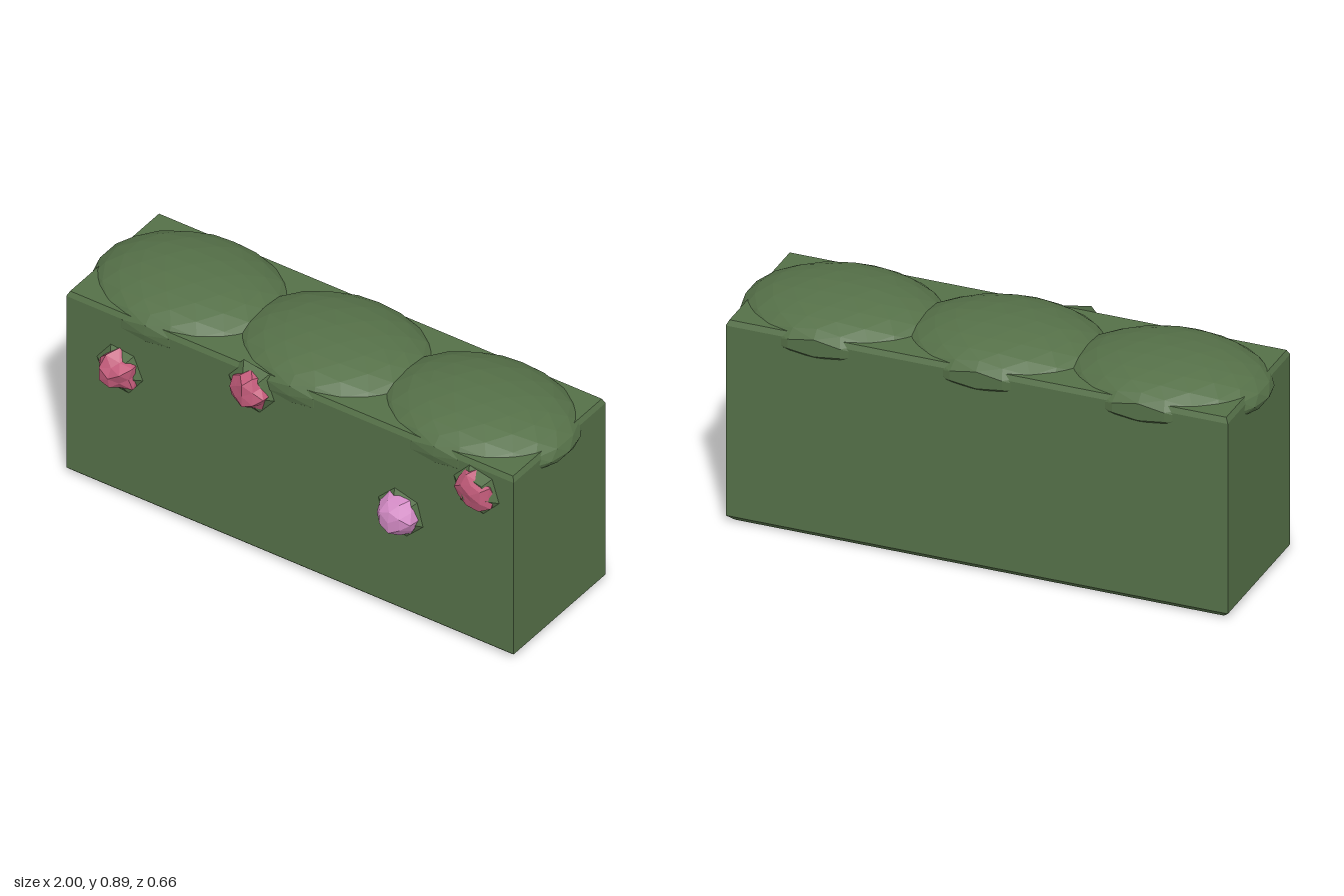
import * as THREE from 'three';

const flat = (color, name) => {
  const m = new THREE.MeshStandardMaterial({ color, flatShading: true });
  m.name = name;
  return m;
};

// Moves every vertex by a rule, then rebuilds the normals
function reshape(geometry, rule) {
  const p = geometry.attributes.position;
  const v = new THREE.Vector3();
  for (let i = 0; i < p.count; i++) {
    v.fromBufferAttribute(p, i);
    rule(v);
    p.setXYZ(i, v.x, v.y, v.z);
  }
  geometry.computeVertexNormals();
  return geometry;
}

// Repeatable uneven value from a direction, 0..1
const noise = (v, seed) => {
  const s = Math.sin(Math.round(v.x * 50) * 12.99 + Math.round(v.y * 50) * 78.23 + Math.round(v.z * 50) * 37.72 + seed * 9.1) * 43.7585;
  return s - Math.floor(s);
};

export function createModel() {
  const group = new THREE.Group();
  const leaf = flat(0x557048, 'hedge green');
  const pink = flat(0xc25b7a, 'rose pink');
  const lilac = flat(0xd28ac4, 'lilac');
  const add = (geometry, material, name) => {
    const mesh = new THREE.Mesh(geometry, material);
    mesh.name = name;
    group.add(mesh);
    return mesh;
  };

  // Clipped body with chamfered bottom and softened top rim
  const rows = [[0, 0.025], [0.024, 0], [0.782, 0], [0.802, 0.01]];
  add(reshape(new THREE.BoxGeometry(1.92, 3, 0.57, 1, 3, 1), (v) => {
    const [y, inset] = rows[Math.round(v.y + 1.5)];
    v.x -= Math.sign(v.x) * inset;
    v.z -= Math.sign(v.z) * inset;
    v.y = y;
    v.z -= 0.036;
  }), leaf, 'hedgeBody');

  // Three overlapping foliage mounds along the top
  [-0.62, 0, 0.62].forEach((x, i) => {
    add(reshape(new THREE.IcosahedronGeometry(1, 3), (v) => {
      const r = 0.985 + 0.015 * noise(v, i);
      const end = Math.abs(v.x);
      v.set(x + v.x * 0.38, 0.76 + v.y * (v.y > 0 ? 0.129 * r : 0.1), -0.04 + v.z * 0.305);
      v.z = THREE.MathUtils.clamp(v.z, -0.33, 0.258);
      if (end > 0.999) v.x = x + Math.sign(v.x - x) * 0.38;
    }), leaf, 'foliageMound');
  });

  // Blossoms on the front, each in a low leafy collar
  const blossoms = [
    { x: -0.73, y: 0.56, r: 0.092, tip: 0.325, spiky: true },
    { x: -0.165, y: 0.718, r: 0.09, tip: 0.312, spiky: true },
    { x: 0.8, y: 0.685, r: 0.09, tip: 0.295, spiky: true },
    { x: 0.475, y: 0.445, r: 0.088, tip: 0.33, spiky: false },
  ];
  blossoms.forEach(({ x, y, r, tip, spiky }, i) => {
    const collar = add(new THREE.CylinderGeometry(0.06, 0.112, 0.035, 6), leaf, 'leafCollar');
    collar.rotation.set(Math.PI / 2, 0.4 + i, 0);
    collar.position.set(x, y, 0.258);

    const depth = tip - 0.25;
    const shape = reshape(new THREE.IcosahedronGeometry(1, 1), (v) => {
      const n = noise(v, i + 3);
      v.multiplyScalar(spiky ? 0.72 + 0.3 * n : 0.88 + 0.12 * n);
      v.set(v.x * r, v.y * r, Math.min(v.z * 1.15, 1) * depth);
    });
    add(shape, spiky ? pink : lilac, 'blossom').position.set(x, y, 0.25);
  });

  return group;
}
